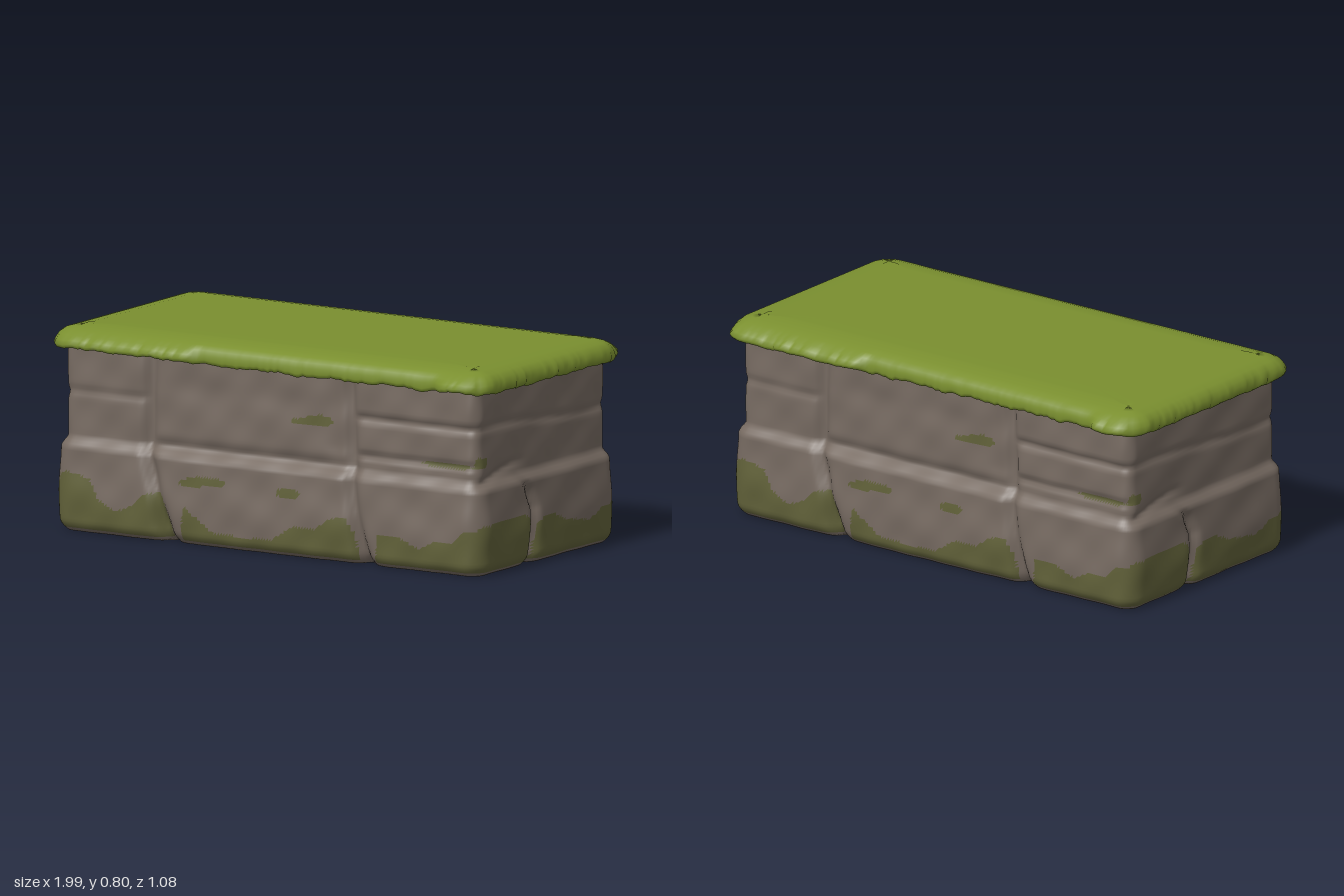
import * as THREE from 'three';

const { smoothstep } = THREE.MathUtils;
const bump = (t, w) => Math.exp(-(t * t) / (w * w));

// piecewise-linear curve through [t, value] points
function curve(pts, t) {
  if (t <= pts[0][0]) return pts[0][1];
  for (let i = 1; i < pts.length; i++) {
    const [t0, v0] = pts[i - 1], [t1, v1] = pts[i];
    if (t <= t1) return v0 + (v1 - v0) * (t - t0) / (t1 - t0);
  }
  return pts[pts.length - 1][1];
}

// point and outward normal on a rounded rectangle, t = 0..1
function outline(t, a, b, r) {
  const w = 2 * (a - r), d = 2 * (b - r), arc = Math.PI * r / 2, half = w + d + 2 * arc;
  let s = t * 2 * half, sign = 1;
  if (s >= half) { s -= half; sign = -1; }
  let x, z, nx = 0, nz = 1;
  const corner = (cx, cz, start, len) => {
    const q = start + len / r;
    nx = Math.sin(q); nz = Math.cos(q);
    x = cx + r * nx; z = cz + r * nz;
  };
  if (s < w) { x = -w / 2 + s; z = b; }
  else if ((s -= w) < arc) corner(w / 2, d / 2, 0, s);
  else if ((s -= arc) < d) { x = a; z = d / 2 - s; nx = 1; nz = 0; }
  else corner(w / 2, -d / 2, Math.PI / 2, s - d);
  return { x: x * sign, z: z * sign, nx: nx * sign, nz: nz * sign };
}

// closed rings of points joined into a skin; pick() chooses each triangle's material
function skin(name, cols, rows, point, materials, pick = () => 0) {
  const pos = [], lists = materials.map(() => []);
  for (let j = 0; j < rows; j++) for (let i = 0; i < cols; i++) pos.push(...point(i / cols, j));
  const tri = (...ids) => {
    const c = [0, 1, 2].map(k => ids.reduce((sum, id) => sum + pos[id * 3 + k], 0) / 3);
    lists[pick(...c)].push(...ids);
  };
  for (let j = 0; j < rows - 1; j++) for (let i = 0; i < cols; i++) {
    const n = (i + 1) % cols, p = j * cols;
    tri(p + i, p + n, p + cols + n);
    tri(p + i, p + cols + n, p + cols + i);
  }
  const geo = new THREE.BufferGeometry();
  geo.setAttribute('position', new THREE.Float32BufferAttribute(pos, 3));
  geo.setIndex(lists.flat());
  let start = 0;
  lists.forEach((l, k) => { geo.addGroup(start, l.length, k); start += l.length; });
  geo.computeVertexNormals();
  const mesh = new THREE.Mesh(geo, materials);
  mesh.name = name;
  return mesh;
}

// relief shared by all faces: wider base course, rounded foot, slow undulation
function course(u, y) {
  const foot = Math.max(0, 1 - y / 0.045);
  return -0.028 * smoothstep(y, 0.325, 0.37) + 0.009 * bump(y - 0.14, 0.1) - 0.03 * foot * foot
    + 0.003 * Math.sin(u * 13 + y * 9) * Math.sin(y * 21 + u * 4) + 0.0015 * Math.sin(u * 37 - y * 31);
}
const seamLeft = [[0, -0.45], [0.2, -0.5], [0.36, -0.55], [0.72, -0.54]];
const seamRight = [[0, 0.44], [0.2, 0.4], [0.4, 0.37], [0.72, 0.355]];
const sideSeam = [[0, 0.1], [0.22, 0.095], [0.3, 0.13], [0.37, 0.22]];

// long face: three stones across, split by two upright seams
function longRelief(x, y) {
  const l = x - curve(seamLeft, y), r = x - curve(seamRight, y);
  const mid = smoothstep(l, 0, 0.05) * smoothstep(-r, 0, 0.05);
  const right = smoothstep(r, 0, 0.05), left = smoothstep(-l, 0, 0.05);
  const low = 1 - smoothstep(y, 0, 0.2);
  let d = course(x, y) - 0.028 * (bump(l, 0.025) + bump(r, 0.025));
  d -= low * 0.03 * (bump(l, 0.04) + bump(r, 0.04));
  d -= mid * (0.014 * bump(y - 0.37, 0.025) + 0.004 * bump(y - 0.6, 0.05));
  d -= 0.008 * mid * bump(r + 0.08, 0.05) * smoothstep(y, 0.37, 0.45);
  d -= right * (0.014 * bump(y - 0.565, 0.014) + 0.012 * bump(y - 0.42, 0.014));
  d -= left * 0.007 * bump(y - 0.545, 0.016);
  return d;
}

// short face: one low seam and faint ledges
function shortRelief(z, y) {
  const s = z - curve(sideSeam, y), fade = 1 - smoothstep(y, 0.26, 0.38);
  let d = course(z + 2, y) - fade * (0.026 * bump(s, 0.022) + 0.02 * bump(s, 0.04) * (1 - smoothstep(y, 0, 0.2)));
  d -= 0.008 * bump(y - 0.55 - 0.02 * Math.sin(z * 5), 0.015);
  d -= 0.012 * smoothstep(z, 0.1, 0.25) * bump(y - 0.375 - 0.03 * Math.sin(z * 9), 0.016);
  return d;
}

// moss tops along each face, and small loose patches [u, y, halfWidth, halfHeight]
const longMoss = [[-0.97, 0.21], [-0.9, 0.235], [-0.8, 0.215], [-0.76, 0.14], [-0.68, 0.1], [-0.62, 0.12], [-0.55, 0.18],
  [-0.48, 0.19], [-0.455, 0.12], [-0.45, 0], [-0.39, 0], [-0.37, 0.15], [-0.33, 0.12], [-0.24, 0.06], [-0.1, 0.055], [0.03, 0.06],
  [0.12, 0.12], [0.22, 0.12], [0.3, 0.17], [0.36, 0.18], [0.395, 0.12], [0.41, 0], [0.49, 0], [0.51, 0.13], [0.6, 0.13], [0.7, 0.09],
  [0.78, 0.13], [0.85, 0.13], [0.9, 0.18], [0.97, 0.18]];
const shortMoss = [[-0.49, 0.2], [-0.42, 0.155], [-0.36, 0.15], [-0.28, 0.115], [-0.2, 0.13], [-0.12, 0.14], [-0.04, 0.175], [0.04, 0.18],
  [0.075, 0.15], [0.085, 0], [0.115, 0], [0.13, 0.18], [0.16, 0.2], [0.4, 0.2], [0.49, 0.19]];
const longPatches = [[0.22, 0.535, 0.06, 0.022], [0.16, 0.525, 0.07, 0.012], [-0.27, 0.255, 0.09, 0.018], [-0.34, 0.24, 0.06, 0.013],
  [0.1, 0.245, 0.055, 0.02], [0.8, 0.418, 0.12, 0.01]];
const shortPatches = [[0.43, 0.435, 0.05, 0.022]];

function mossy(x, y, z) {
  if (y < 0.014) return 0;
  const isLong = Math.abs(z) - 0.46 > Math.abs(x) - 0.935;
  const u = isLong ? x * Math.sign(z) : z * Math.sign(x);
  const patch = (isLong ? longPatches : shortPatches).some(([pu, py, w, h]) => ((u - pu) / w) ** 2 + ((y - py) / h) ** 2 < 1);
  return patch || y < curve(isLong ? longMoss : shortMoss, u) ? 1 : 0;
}

export function createModel() {
  const mat = (name, color) => Object.assign(new THREE.MeshStandardMaterial({ color }), { name });
  const rock = mat('rock', 0x776b62), moss = mat('moss', 0x62623a), grass = mat('grass', 0x7a8f2f);
  const group = new THREE.Group();
  group.name = 'grassyStoneBlock';

  // stone body, starting from the centre of the underside
  const heights = [0, 0, 0.005];
  for (let y = 0.015; y < 0.75; y += 0.0125) heights.push(y);
  const stonePoint = (t, j) => {
    const y = heights[j], p = outline(t, 0.965, 0.487, 0.075);
    if (j === 0) return [0, 0.004, 0];
    const d = p.nz ** 2 * longRelief(p.x * Math.sign(p.nz), y) + p.nx ** 2 * shortRelief(p.z * Math.sign(p.nx), y);
    return [p.x + p.nx * d, y, p.z + p.nz * d];
  };
  group.add(skin('stoneBody', 460, heights.length, stonePoint, [rock, moss], mossy));

  // grass slab with a ragged lip: [offset, height, share of lip, share of fraying]
  const profile = [[-0.06, 0.725, 0, 0], [-0.02, 0.712, 0.5, 0.5], [-0.004, 0.708, 0.9, 1], [0.002, 0.722, 1, 1], [0, 0.742, 0.75, 0.5],
    [-0.006, 0.762, 0.35, 0.2], [-0.025, 0.779, 0, 0], [-0.06, 0.789, 0, 0], [-0.11, 0.796, 0, 0], [-0.14, 0.797, 0, 0], [0, 0.797, 0, 0]];
  const hash = n => { const v = Math.sin(n * 127.1 + 11.7) * 43758.5453; return v - Math.floor(v); };
  const cols = 360;
  const grassPoint = (t, j) => {
    const [off, y, lipShare, fray] = profile[j];
    if (j === profile.length - 1) return [0, y, 0];
    const p = outline(t, 0.982, 0.492, 0.1), u = p.x * Math.sign(p.nz);
    const overhang = Math.max(1 - smoothstep(u, -0.36, -0.3), smoothstep(u, 0.76, 0.82));
    const long = p.nz ** 2;
    const k = Math.round(t * cols), rag = hash(k) - 0.5;
    const wave = Math.sin(t * 130) * 0.5 + Math.sin(t * 311) * 0.5;
    const lip = long * overhang * 0.036 + (1 - long) * 0.006;
    const ragged = fray * (rag * 0.012 + wave * 0.004) * (long * overhang + (1 - long) * 0.8 + 0.1);
    const d = off + lip * lipShare + ragged;
    const drop = fray * (rag * 0.008 + wave * 0.005 + long * overhang * 0.008);
    return [p.x + p.nx * d, y + drop, p.z + p.nz * d];
  };
  group.add(skin('grassTop', cols, profile.length, grassPoint, [grass]));
  return group;
}
